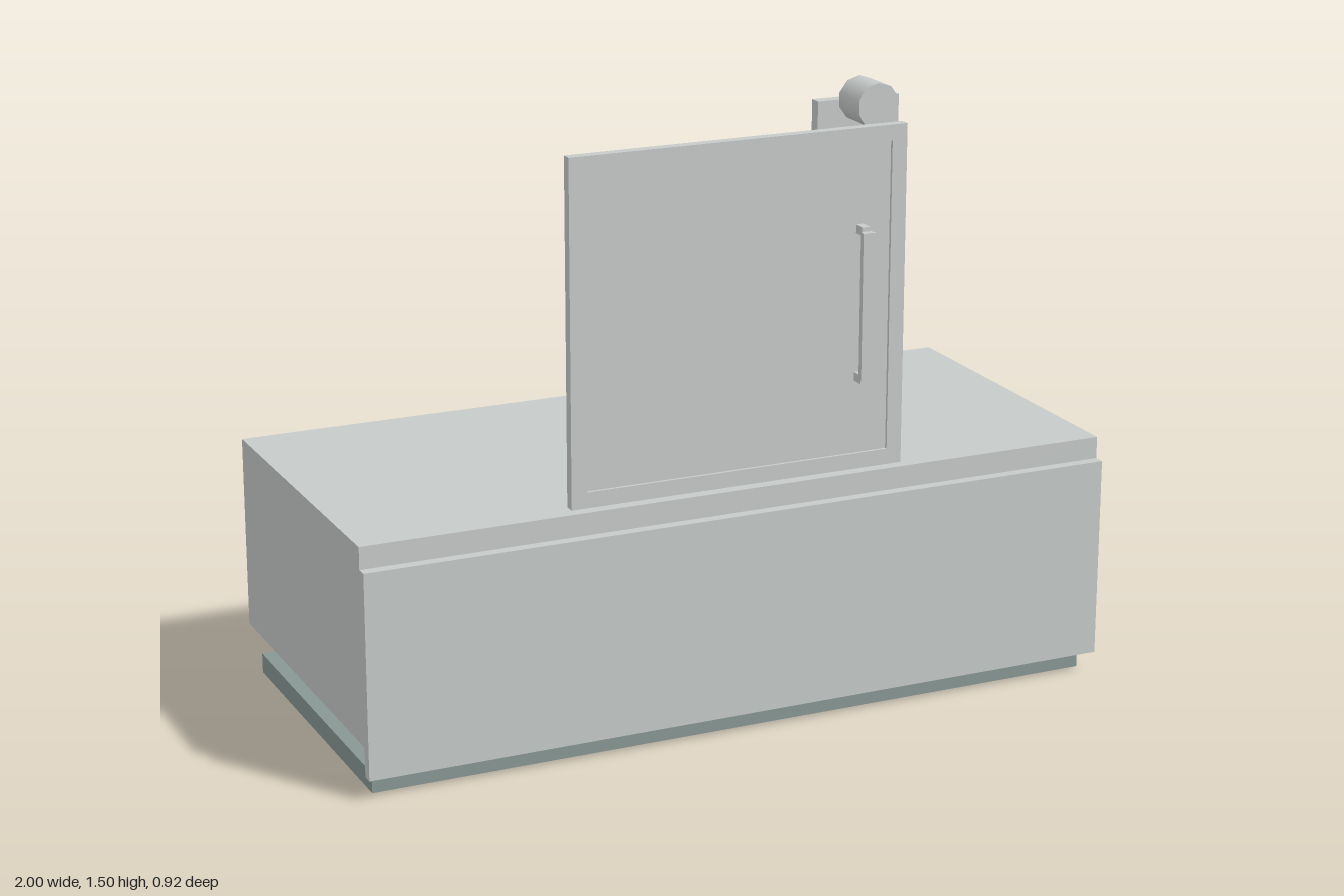
import * as THREE from 'three';

export function createModel() {
  const model = new THREE.Group();
  model.name = 'bathtub';
  const enamel = new THREE.MeshStandardMaterial({ color: 0xc6cac8 });
  enamel.name = 'pale grey';
  const slate = new THREE.MeshStandardMaterial({ color: 0x889794 });
  slate.name = 'grey green';

  function add(name, geometry, parent = model, material = enamel) {
    const mesh = new THREE.Mesh(geometry, material);
    mesh.name = name;
    parent.add(mesh);
    return mesh;
  }
  // Box given by its lower and upper limits on each axis
  function box(name, [x0, x1], [y0, y1], [z0, z1], parent, material) {
    const mesh = add(name, new THREE.BoxGeometry(x1 - x0, y1 - y0, z1 - z0), parent, material);
    mesh.position.set((x0 + x1) / 2, (y0 + y1) / 2, (z0 + z1) / 2);
    return mesh;
  }

  // Tub block, front apron and floating plinth
  box('tubBody', [-1, 1], [0.13, 0.635], [-0.461, 0.434]);
  box('frontApron', [-1, 1], [0.054, 0.578], [0.434, 0.462]);
  box('plinth', [-0.977, 0.977], [0, 0.052], [-0.434, 0.413], model, slate);

  // Screen: a frame around a pane recessed on both faces
  const screen = new THREE.Group();
  screen.name = 'screen';
  model.add(screen);
  const [left, right, bottom, top] = [-0.449, 0.445, 0.635, 1.502];
  const rim = 0.04;
  const rectangle = (Type, inset) => new Type([
    new THREE.Vector2(left + inset, bottom + inset),
    new THREE.Vector2(right - inset, bottom + inset),
    new THREE.Vector2(right - inset, top - inset),
    new THREE.Vector2(left + inset, top - inset),
  ]);
  const frame = rectangle(THREE.Shape, 0);
  frame.holes.push(rectangle(THREE.Path, rim));
  add('screenFrame', new THREE.ExtrudeGeometry(frame, { depth: 0.027, bevelEnabled: false }), screen)
    .position.z = 0.376;
  box('screenPane', [left + rim, right - rim], [bottom + rim, top - rim], [0.384, 0.395], screen);

  // Handle: a grip that widens outward, on two standoffs
  const handle = new THREE.Group();
  handle.name = 'handle';
  model.add(handle);
  const section = new THREE.Shape([
    new THREE.Vector2(-0.011, -0.425),
    new THREE.Vector2(-0.017, -0.455),
    new THREE.Vector2(0.017, -0.455),
    new THREE.Vector2(0.011, -0.425),
  ]);
  const grip = add('handleGrip', new THREE.ExtrudeGeometry(section, { depth: 0.374, bevelEnabled: false }), handle);
  grip.rotation.x = -Math.PI / 2;
  grip.position.set(0.32, 0.877, 0);
  for (const y of [0.865, 1.24]) {
    box('handleStandoff', [0.309, 0.331], [y, y + 0.022], [0.4, 0.436], handle);
  }

  // Fittings column with shower head, tap, spout and two valves
  const fittings = new THREE.Group();
  fittings.name = 'fittings';
  model.add(fittings);
  const centre = 0.747;
  box('column', [0.624, 0.87], [0.635, 1.376], [-0.461, -0.426], fittings);

  const head = add('showerHead', new THREE.CylinderGeometry(0.0625, 0.0625, 0.115, 10), fittings);
  head.rotation.x = Math.PI / 2;
  head.position.set(centre, 1.376, -0.3685);

  const tap = add('tapBody', new THREE.CylinderGeometry(0.038, 0.038, 0.12, 10), fittings);
  tap.position.set(centre, 0.695, -0.423);

  const spout = add('spout', new THREE.BoxGeometry(0.034, 0.037, 0.2), fittings);
  spout.rotation.x = -0.28;
  spout.position.set(centre, 0.775, -0.347);

  for (const side of [-1, 1]) {
    const x = centre + side * 0.088;
    box('valve', [x - 0.013, x + 0.013], [0.635, 0.712], [-0.44, -0.414], fittings);
  }
  return model;
}
